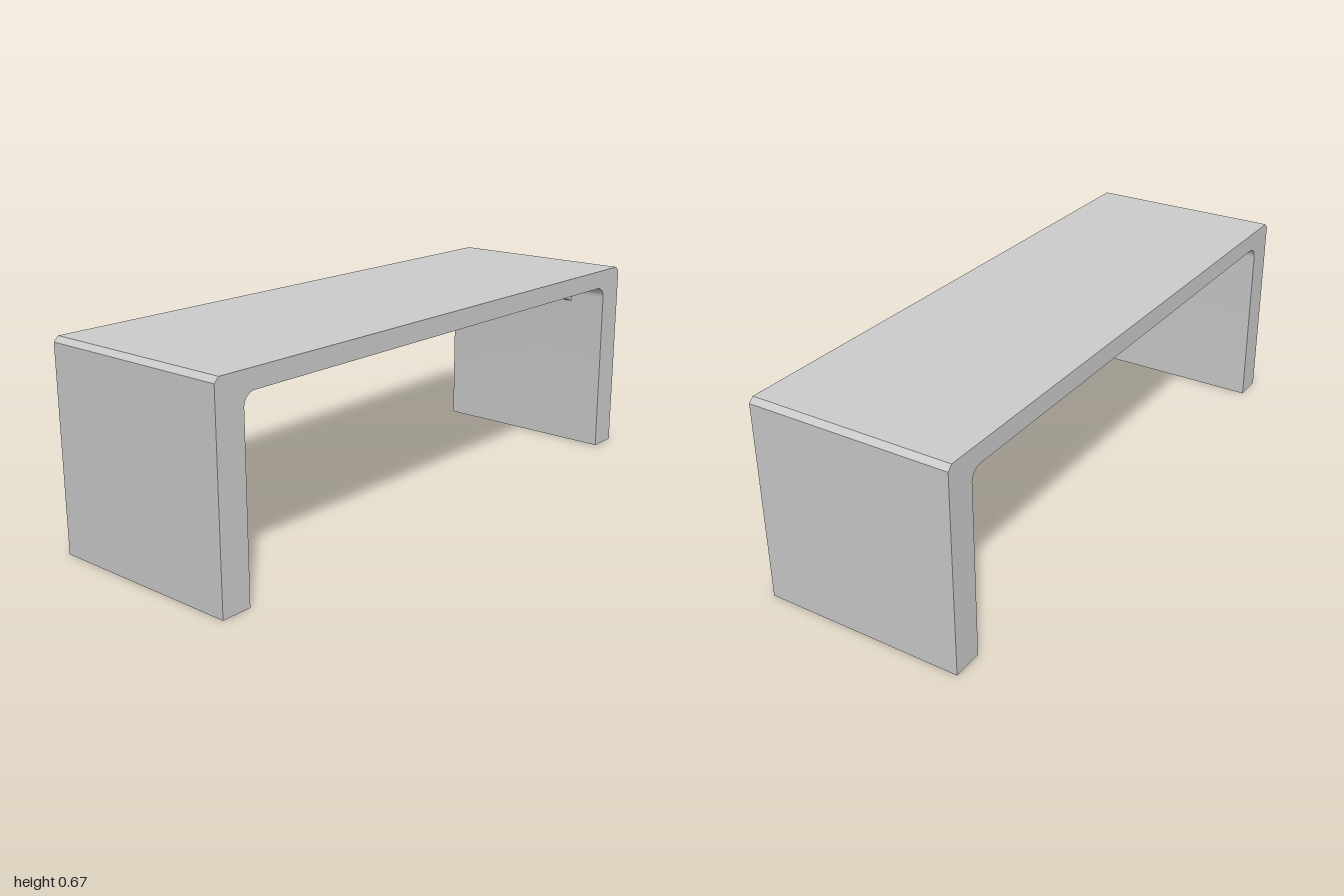
import * as THREE from 'three';
import { toCreasedNormals } from 'three/addons/utils/BufferGeometryUtils.js';

const WIDTH = 0.667, HEIGHT = 0.667, UNDER = 0.605, INNER = 0.9;
const CHAMFER = 0.016, FILLET = 0.04;

// Extrudes a side profile (-z, y) across x, starting at x0
function extrudeAcross(shape, x0, width) {
  const geo = new THREE.ExtrudeGeometry(shape, { depth: width, bevelEnabled: false, curveSegments: 10 });
  geo.translate(0, 0, x0);
  geo.rotateY(Math.PI / 2);
  return toCreasedNormals(geo, 0.5);
}

export function createModel() {
  const group = new THREE.Group();
  const material = new THREE.MeshStandardMaterial({ color: 0xcccccc });
  const add = (name, geometry) => {
    const mesh = new THREE.Mesh(geometry, material);
    mesh.name = name;
    group.add(mesh);
  };

  // Top and both legs: one bent profile, chamfered outside and rounded inside
  const frame = new THREE.Shape();
  frame.moveTo(-1, 0);
  frame.lineTo(-INNER, 0);
  frame.lineTo(-INNER, UNDER - FILLET);
  frame.absarc(-INNER + FILLET, UNDER - FILLET, FILLET, Math.PI, Math.PI / 2, true);
  frame.lineTo(INNER - FILLET, UNDER);
  frame.absarc(INNER - FILLET, UNDER - FILLET, FILLET, Math.PI / 2, 0, true);
  frame.lineTo(INNER, 0);
  frame.lineTo(1, 0);
  frame.lineTo(1, HEIGHT - CHAMFER);
  frame.lineTo(1 - CHAMFER, HEIGHT);
  frame.lineTo(-1 + CHAMFER, HEIGHT);
  frame.lineTo(-1, HEIGHT - CHAMFER);
  frame.closePath();
  add('benchFrame', extrudeAcross(frame, -WIDTH / 2, WIDTH));

  // Two wedge ribs under the top at each leg, sunk slightly into the frame
  const ribWidth = WIDTH / 5;
  for (const end of [-1, 1]) {
    const rib = new THREE.Shape([
      [0.7, UNDER], [INNER, 0.537], [INNER + 0.01, 0.537], [INNER + 0.01, UNDER + 0.01], [0.7, UNDER + 0.01],
    ].map(([z, y]) => new THREE.Vector2(end * z, y)));
    for (const side of [-1, 1]) {
      add(`${end < 0 ? 'front' : 'back'}${side > 0 ? 'Left' : 'Right'}Rib`,
        extrudeAcross(rib, side * ribWidth - ribWidth / 2, ribWidth));
    }
  }
  return group;
}
